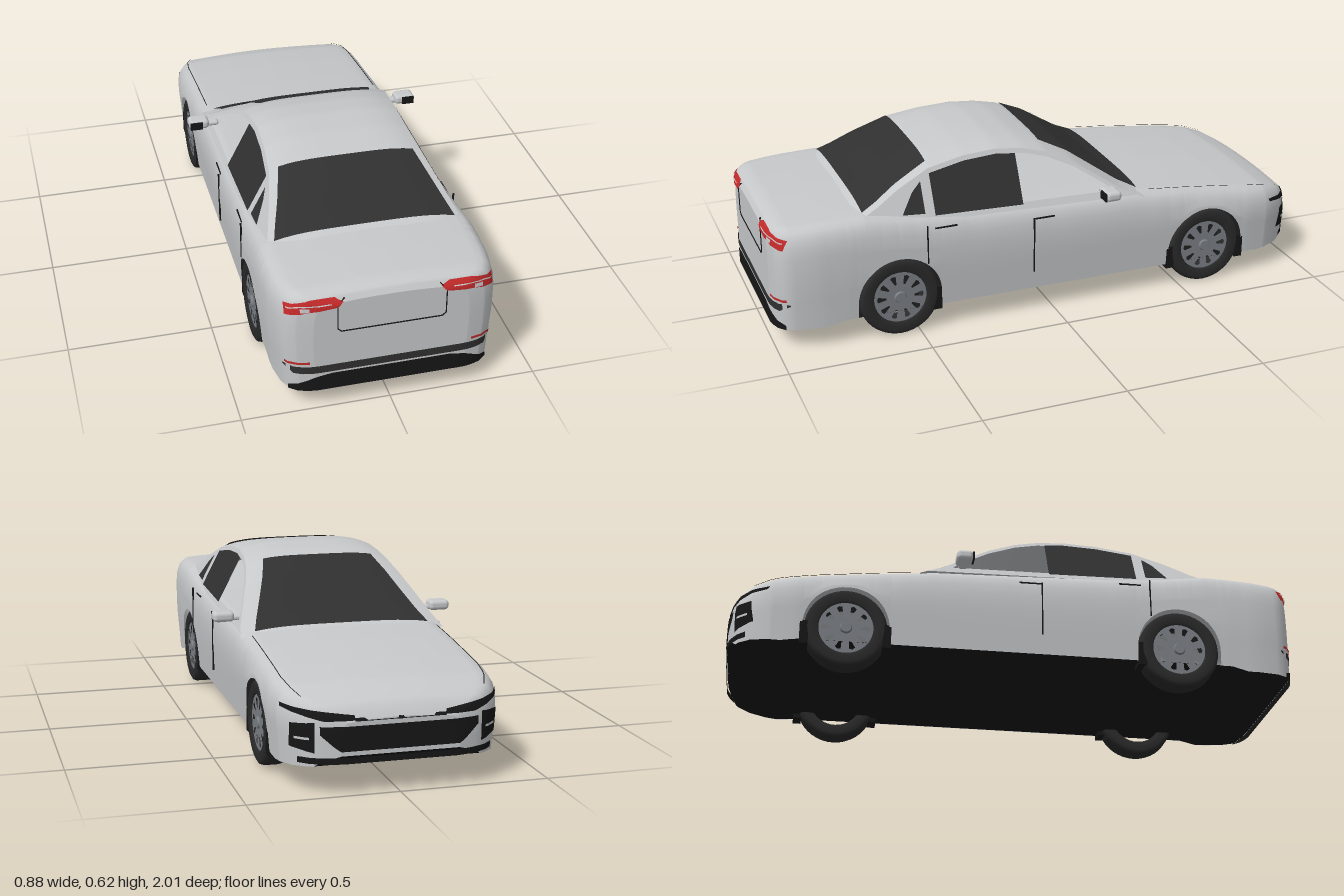
import * as THREE from 'three';
import { RoundedBoxGeometry } from 'three/addons/geometries/RoundedBoxGeometry.js';

const paint = (name, color) => new THREE.MeshStandardMaterial({ name, color, side: THREE.DoubleSide });
const M = {
  body: paint('silver paint', 0xc6c8ca), glass: paint('dark glass', 0x303030),
  trim: paint('black trim', 0x161616), tyre: paint('tyre rubber', 0x2a2a2a), red: paint('red lamp', 0xc42a2a),
};
M.rim = new THREE.MeshStandardMaterial({ name: 'wheel grey', color: 0x7a7e84 });

// Piecewise linear lookup
function table(v, pts) {
  if (v <= pts[0][0]) return pts[0][1];
  for (let i = 1; i < pts.length; i++) {
    const [a, p] = pts[i - 1], [b, q] = pts[i];
    if (v <= b) return p + (q - p) * (v - a) / (b - a);
  }
  return pts[pts.length - 1][1];
}

// Body rules along z: half width, shoulder height, sill height
const WIDTH = [[-1, .2], [-.985, .26], [-.96, .305], [-.92, .345], [-.86, .37], [-.78, .38], [.75, .38], [.86, .376],
  [.93, .364], [.97, .343], [.99, .31], [1, .26]];
const TOP = [[-1, .235], [-.985, .262], [-.96, .286], [-.92, .306], [-.85, .328], [-.7, .35], [-.5, .373], [-.36, .386],
  [-.3, .393], [0, .402], [.3, .413], [.5, .428], [.68, .45], [.8, .447], [.95, .44], [.985, .428], [1, .405]];
const SILL = [[-1, .13], [-.97, .095], [-.82, .083], [-.76, .09], [.76, .09], [.82, .075], [.97, .077], [1, .095]];
const WHEELS = [.57, -.6], R = .143, ARCH = .149;
const topY = z => table(z, TOP), sillY = z => table(z, SILL);

function half(z, y) {
  const d = topY(z) - y;
  if (d < 0) return 0;
  const shoulder = table(d, [[0, .88], [.012, .93], [.03, .965], [.06, .99], [.1, 1]]);
  return table(z, WIDTH) * Math.min(shoulder, table(y, [[.09, .965], [.25, 1]]));
}
function lowerEdge(z) {
  for (const c of WHEELS) {
    const d = Math.abs(z - c);
    if (d <= ARCH) return R + Math.sqrt(ARCH * ARCH - d * d);
  }
  return sillY(z);
}
// Cross-section from the left sill over the top to the right sill
function section(z) {
  const t = topY(z), b = lowerEdge(z), pts = [], reach = Math.min(.1, (t - b) * .8);
  for (let i = 0; i < 5; i++) pts.push(b + (t - reach - b) * i / 5);
  for (const d of [1, .6, .3, .12, 0]) pts.push(t - d * reach);
  const side = pts.map(y => [half(z, y), y]), edge = half(z, t);
  for (const s of [.92, .8, .5, .25]) side.push([edge * s, t + .012 * (1 - s * s)]);
  return [...side, [0, t + .012], ...side.map(([x, y]) => [-x, y]).reverse()];
}

// Surface through rows of points
function loft(rows) {
  const n = rows[0].length, index = [];
  for (let i = 0; i < rows.length - 1; i++) for (let j = 0; j < n - 1; j++) {
    const a = i * n + j, b = a + n;
    index.push(a, b, a + 1, b, b + 1, a + 1);
  }
  const g = new THREE.BufferGeometry();
  g.setAttribute('position', new THREE.Float32BufferAttribute(rows.flat(2), 3));
  g.setIndex(index);
  g.computeVertexNormals();
  return g;
}
const grid = (nu, nv, f) => loft(Array.from({ length: nu + 1 }, (_, i) =>
  Array.from({ length: nv + 1 }, (_, j) => f(i / nu, j / nv))));

// Depth of the nose (dir -1) or tail (dir 1) at x, y
function endZ(x, y, dir) {
  if (half(dir, y) >= Math.abs(x)) return dir;
  let a = dir * .75, b = dir;
  for (let i = 0; i < 24; i++) {
    const m = (a + b) / 2;
    if (half(m, y) >= Math.abs(x)) a = m; else b = m;
  }
  return a;
}
// Thin panel hugging one end; profile points are [x, low y, high y]
function endPanel(dir, profile, lift = .004) {
  const x0 = profile[0][0], x1 = profile[profile.length - 1][0];
  const lo = profile.map(p => [p[0], p[1]]), hi = profile.map(p => [p[0], p[2]]);
  return grid(24, 4, (u, v) => {
    const x = x0 + (x1 - x0) * u, a = table(x, lo), y = a + (table(x, hi) - a) * v;
    return [x * (1 + lift), y, endZ(x, y, dir) + dir * lift];
  });
}

// Cabin rules: roof line along z and the leaning side plane
const ROOF = [[-.35, .398], [-.27, .435], [-.2, .48], [-.1, .545], [0, .59], [.08, .61], [.18, .62], [.3, .613], [.43, .59],
  [.55, .537], [.63, .492], [.7, .46]];
const roofY = z => table(z, ROOF), sideX = y => .345 - .52 * (y - .42);
const cabinPoint = (z, s, lift = 0) => [s * sideX(roofY(z) - .025), roofY(z) - .025 * s ** 4 + lift, z];
function sidePlate(shape, side, lift = 0) {
  const g = new THREE.ShapeGeometry(shape), p = g.attributes.position;
  for (let i = 0; i < p.count; i++) {
    const z = p.getX(i), y = p.getY(i);
    p.setXYZ(i, side * (sideX(y) + lift), y, z);
  }
  g.computeVertexNormals();
  return g;
}
const poly = pts => new THREE.Shape(pts.map(([a, b]) => new THREE.Vector2(a, b)));

function makeWheel() {
  const wheel = new THREE.Group();
  const profile = [[.094, .034], [.1, .041], [.128, .042], [.139, .036], [R, .024], [R, -.024], [.139, -.036], [.128, -.042], [.1, -.041], [.094, -.034], [.094, .034]];
  const tyre = new THREE.Mesh(new THREE.LatheGeometry(profile.map(p => new THREE.Vector2(...p)), 40), M.tyre);
  tyre.rotation.z = -Math.PI / 2;
  tyre.name = 'tyre';
  // Rim face with ten slots
  const face = new THREE.Shape().absarc(0, 0, .097, 0, Math.PI * 2);
  for (let i = 0; i < 10; i++) {
    const a = i * Math.PI / 5, at = (r, o) => new THREE.Vector2(r * Math.cos(a + o), r * Math.sin(a + o));
    face.holes.push(new THREE.Path([at(.05, -.06), at(.08, -.13), at(.084, 0), at(.08, .13), at(.05, .06)]));
  }
  const rim = new THREE.Mesh(new THREE.ShapeGeometry(face, 32), M.rim);
  rim.rotation.y = Math.PI / 2;
  rim.position.x = .034;
  rim.name = 'rim';
  const hub = new THREE.Mesh(new THREE.CylinderGeometry(.018, .022, .008, 20), M.rim);
  hub.rotation.z = -Math.PI / 2;
  hub.position.x = .037;
  hub.name = 'hub';
  wheel.add(tyre, rim, hub);
  return wheel;
}

export function createModel() {
  const car = new THREE.Group();
  car.name = 'sedan';
  const add = (name, geo, mat, x = 0, y = 0, z = 0) => {
    const m = new THREE.Mesh(geo, mat);
    m.name = name;
    m.position.set(x, y, z);
    car.add(m);
    return m;
  };

  // Lower body with wheel arches, end faces and floor
  const stations = [...WIDTH, ...TOP, ...SILL].map(p => p[0]);
  for (let z = -.75; z < .8; z += .06) stations.push(z);
  for (const c of WHEELS) {
    for (let i = 0; i <= 24; i++) stations.push(c + ARCH * .9999 * Math.cos(i * Math.PI / 24));
    stations.push(c - ARCH - .0005, c + ARCH + .0005);
  }
  const zs = [...new Set(stations)].sort((a, b) => a - b);
  add('bodyShell', loft(zs.map(z => section(z).map(([x, y]) => [x, y, z]))), M.body);
  for (const z of [-1, 1]) {
    const cap = add(z > 0 ? 'tailFace' : 'noseFace', new THREE.ShapeGeometry(poly(section(z))), M.body, 0, 0, z);
    if (z < 0) cap.rotation.y = Math.PI;
  }
  add('floor', loft(zs.map(z => [-1, 1].map(s => [s * half(z, sillY(z)), sillY(z) + .001, z]))), M.trim);

  // Roof shell with windscreen and rear window
  add('roof', grid(60, 20, (u, v) => cabinPoint(-.35 + 1.05 * u, v * 2 - 1)), M.body);
  const window = (name, z0, z1, s0, s1) => add(name, grid(24, 16, (u, v) =>
    cabinPoint(z0 + (z1 - z0) * u, (v * 2 - 1) * (s0 + (s1 - s0) * u), .005)), M.glass);
  window('windscreen', -.34, 0, .86, .76);
  window('rearWindow', .43, .68, .88, .935);

  // Cabin sides: frame, fixed glass, open front window
  const under = (zList, gap) => zList.map(z => [z, roofY(z) - gap]);
  const frame = poly([[.7, .41], ...under([.7, .63, .55, .43, .3, .18, .08, 0, -.1, -.2, -.27, -.31], .025), [-.34, .385]]);
  frame.holes.push(new THREE.Path(poly([[.43, .425], ...under([.43, .3, .18, .08, 0, -.1, -.2], .04), [-.235, .412]]).getPoints()));
  const doorGlass = poly([[.43, .42], ...under([.43, .3, .18, .11], .04), [.11, .412]]);
  const quarterGlass = poly([[.465, .43], [.465, .53], [.5, .5], [.545, .435]]);

  for (const s of [-1, 1]) {
    add('cabinFrame', sidePlate(frame, s), M.body);
    add('rearDoorGlass', sidePlate(doorGlass, s, .002), M.glass);
    add('quarterGlass', sidePlate(quarterGlass, s, .003), M.glass);

    // Mirrors
    add('mirrorArm', new RoundedBoxGeometry(.07, .018, .03, 2, .008), M.body, s * .36, .417, -.2);
    add('mirrorShell', new RoundedBoxGeometry(.075, .036, .058, 3, .014), M.body, s * .4, .424, -.2);
    add('mirrorGlass', new THREE.BoxGeometry(.046, .028, .006), M.trim, s * .411, .423, -.17);

    // Door seams and handles
    const seam = (name, z, y, dz, dy) => add(name, new THREE.BoxGeometry(.006, dy, dz), M.trim, s * half(z, y), y, z);
    seam('rearDoorSeam', .47, .33, .004, .14);
    seam('frontDoorSeam', .08, .26, .004, .2);
    seam('rearHandle', .4, .383, .08, .005);
    seam('frontHandle', .04, .36, .08, .005);

    // Splash guards
    for (const z of [.436, -.46, -.742]) add('splashGuard', new THREE.BoxGeometry(.06, .085, .03), M.trim, s * .342, .117, z);

    // Bonnet seam
    add('bonnetSeam', grid(20, 1, (u, v) => {
      const z = -.38 - .54 * u, x = .333 * Math.min(1, half(z, topY(z)) / .334) + .003 * v;
      return [s * x, topY(z) + .004, z];
    }), M.trim);

    // Lamps and vents; profiles run outwards and are mirrored
    const panel = (name, dir, pts, mat, lift) =>
      add(name, endPanel(dir, pts.map(([x, a, b]) => [x * s, a, b]).sort((p, q) => p[0] - q[0]), lift), mat);
    panel('tailLamp', 1, [[.155, .42, .428], [.18, .395, .428], [.27, .388, .428], [.345, .375, .41]], M.red);
    panel('tailLampStripe', 1, [[.2, .409, .412], [.3, .408, .412], [.34, .398, .402]], M.body, .007);
    panel('tailLampInset', 1, [[.27, .39, .404], [.3, .39, .404]], M.body, .007);
    panel('reflector', 1, [[.27, .183, .192], [.345, .183, .192]], M.red);
    panel('headLamp', -1, [[.15, .243, .258], [.25, .243, .272], [.36, .272, .284]], M.trim);
    panel('bumperVent', -1, [[.275, .14, .238], [.342, .155, .232]], M.trim);
    panel('ventBar', -1, [[.29, .183, .191], [.33, .183, .191]], M.body, .007);

    // Wheels
    for (const z of WHEELS) {
      const wheel = makeWheel();
      wheel.name = z > 0 ? 'rearWheel' : 'frontWheel';
      wheel.position.set(s * .332, R, z);
      if (s < 0) wheel.rotation.y = Math.PI;
      car.add(wheel);
    }
  }

  // Nose: grille and lower lip
  add('grille', endPanel(-1, [[-.26, .2, .226], [-.2, .145, .226], [.2, .145, .226], [.26, .2, .226]]), M.trim);
  add('upperGrille', endPanel(-1, [[-.15, .24, .25], [.15, .24, .25]]), M.trim);
  add('frontLip', endPanel(-1, [[-.32, .105, .125], [.32, .105, .125]]), M.trim);

  // Tail: bumper strip, diffuser and boot seam
  add('bumperStrip', endPanel(1, [[-.35, .168, .173], [-.32, .145, .173], [.32, .145, .173], [.35, .168, .173]]), M.glass);
  add('diffuser', endPanel(1, [[-.335, .075, .092], [-.25, .075, .13], [-.2, .075, .138], [.2, .075, .138], [.25, .075, .13], [.335, .075, .092]]), M.trim);
  const bootSeam = [[-.158, .425], [-.18, .4], [-.18, .31], [-.168, .299], [.168, .299], [.18, .31], [.18, .4], [.158, .425]];
  for (let i = 1; i < bootSeam.length; i++) {
    const [ax, ay] = bootSeam[i - 1], [bx, by] = bootSeam[i], len = Math.hypot(bx - ax, by - ay);
    const y = (ay + by) / 2;
    const seam = add('bootSeam', new THREE.BoxGeometry(len, .003, .006), M.trim, (ax + bx) / 2, y, endZ(.18, y, 1));
    seam.rotation.z = Math.atan2(by - ay, bx - ax);
  }
  return car;
}
